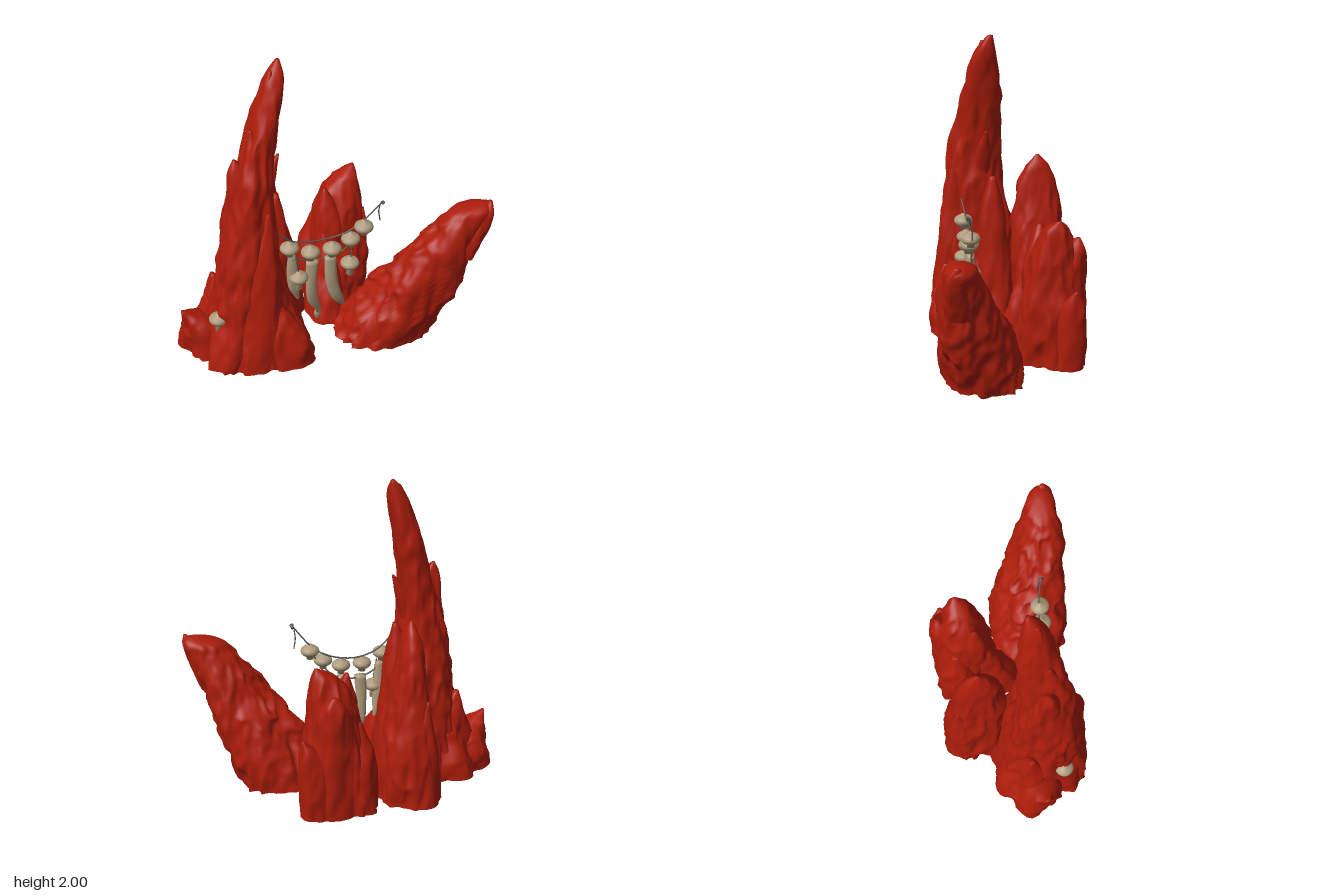
import * as THREE from 'three';

const red = new THREE.MeshStandardMaterial({ color: 0xac1d0b });
red.name = 'red rock';
const tan = new THREE.MeshStandardMaterial({ color: 0xad9b7d });
tan.name = 'dried tan';
const grey = new THREE.MeshStandardMaterial({ color: 0x5c5a53 });
grey.name = 'grey cord';

// Seeded value noise in -1..1
function hash(x, y, z) {
  let h = Math.imul(x, 374761393) ^ Math.imul(y, 668265263) ^ Math.imul(z, 1274126177);
  h = Math.imul(h ^ (h >>> 13), 1103515245);
  return (((h ^ (h >>> 16)) >>> 0) / 4294967295) * 2 - 1;
}
function noise(x, y, z) {
  const ix = Math.floor(x), iy = Math.floor(y), iz = Math.floor(z);
  const s = (t) => t * t * (3 - 2 * t);
  const u = s(x - ix), v = s(y - iy), w = s(z - iz);
  const L = THREE.MathUtils.lerp;
  const row = (j, k) => L(hash(ix, iy + j, iz + k), hash(ix + 1, iy + j, iz + k), u);
  return L(L(row(0, 0), row(1, 0), v), L(row(0, 1), row(1, 1), v), w);
}

// Stacked rounded sections; each key is [y, xMin, xMax, zMin, zMax]
function stackGeometry(keys, rough, segs, rows) {
  const curve = new THREE.CubicInterpolant(keys.map((k) => k[0]), keys.flatMap((k) => k.slice(1)), 4, new Float32Array(4));
  const y0 = keys[0][0], y1 = keys[keys.length - 1][0];
  const squarer = (t) => Math.sign(t) * Math.abs(t) ** 0.86;
  const pos = [], index = [];
  for (let r = 0; r <= rows; r++) {
    const y = y0 + (y1 - y0) * (r / rows);
    const [xa, xb, za, zb] = curve.evaluate(y);
    const cx = (xa + xb) / 2, cz = (za + zb) / 2;
    for (let i = 0; i < segs; i++) {
      const a = (i / segs) * Math.PI * 2;
      const dx = squarer(Math.cos(a)) * (xb - xa) / 2, dz = squarer(Math.sin(a)) * (zb - za) / 2;
      const x = cx + dx, z = cz + dz;
      // tall lumps, then sharper vertical creases
      const lump = noise(x * 7 + 31, y * 3, z * 7 + 17);
      const crease = 0.5 - 1.6 * Math.abs(noise(x * 15 + 5, y * 3.5, z * 15 + 9));
      const grain = noise(x * 30, y * 10, z * 30);
      const k = 1 + rough * (lump * 0.75 + crease * 0.75 + grain * 0.4);
      pos.push(cx + dx * k, y, cz + dz * k);
    }
  }
  for (let r = 0; r < rows; r++) {
    for (let i = 0; i < segs; i++) {
      const j = (i + 1) % segs, a = r * segs, b = a + segs;
      index.push(a + i, b + i, a + j, a + j, b + i, b + j);
    }
  }
  // pointed top and flat base
  const [xa, xb, za, zb] = curve.evaluate(y1);
  const apex = pos.length / 3, top = rows * segs;
  pos.push((xa + xb) / 2, y1 + (xb - xa) * 0.1, (za + zb) / 2);
  const ring = apex + 1;
  for (let i = 0; i < segs; i++) pos.push(pos[i * 3], y0, pos[i * 3 + 2]);
  const k0 = keys[0], centre = pos.length / 3;
  pos.push((k0[1] + k0[2]) / 2, y0, (k0[3] + k0[4]) / 2);
  for (let i = 0; i < segs; i++) {
    const j = (i + 1) % segs;
    index.push(top + i, apex, top + j, centre, ring + i, ring + j);
  }
  const g = new THREE.BufferGeometry();
  g.setAttribute('position', new THREE.Float32BufferAttribute(pos, 3));
  g.setIndex(index);
  g.computeVertexNormals();
  return g;
}

function add(parent, name, geometry, material) {
  const m = new THREE.Mesh(geometry, material);
  m.name = name;
  parent.add(m);
  return m;
}

function rock(parent, name, main, spurs) {
  const g = new THREE.Group();
  g.name = name;
  add(g, name + 'Body', stackGeometry(main, 0.16, 84, 80), red);
  spurs.forEach((s, i) => add(g, name + 'Spur' + (i + 1), stackGeometry(s, 0.2, 36, 36), red));
  parent.add(g);
}

function cord(parent, name, points, radius = 0.005) {
  const c = new THREE.CatmullRomCurve3(points.map((p) => new THREE.Vector3(...p)));
  add(parent, name, new THREE.TubeGeometry(c, 32, radius, 6), grey);
}

// Squashed pod with a small nub above and a stalk below
function pod(parent, [x, y, z], stalk) {
  const profile = [[0, -stalk], [0.024, -stalk], [0.02, -0.04], [0.044, -0.028], [0.057, -0.014], [0.061, 0],
    [0.056, 0.015], [0.042, 0.027], [0.02, 0.034], [0.012, 0.045], [0, 0.048]];
  const g = new THREE.LatheGeometry(profile.map((p) => new THREE.Vector2(...p)), 20);
  add(parent, 'seedPod', g, tan).position.set(x, y, z);
}

export function createModel() {
  const model = new THREE.Group();
  model.name = 'rockSpires';

  // Tall spire
  rock(model, 'tallSpire', [
    [0, -0.86, -0.17, -0.17, 0.43], [0.3, -0.78, -0.25, -0.13, 0.41], [0.6, -0.73, -0.33, -0.09, 0.38],
    [0.9, -0.69, -0.36, -0.05, 0.35], [1.2, -0.63, -0.37, -0.02, 0.32], [1.4, -0.57, -0.355, 0, 0.28],
    [1.6, -0.5, -0.33, 0, 0.24], [1.8, -0.43, -0.295, 0.02, 0.19], [1.93, -0.37, -0.28, 0.04, 0.13], [1.995, -0.315, -0.29, 0.05, 0.08],
  ], [
    [[0, -0.97, -0.55, -0.14, 0.25], [0.2, -0.96, -0.66, -0.06, 0.21], [0.34, -0.97, -0.95, 0.1, 0.13]],
    [[0, -0.88, -0.45, -0.19, 0.2], [0.3, -0.82, -0.5, -0.1, 0.16], [0.54, -0.76, -0.73, 0.02, 0.06]],
    [[0, -0.52, -0.17, 0.18, 0.485], [0.2, -0.5, -0.22, 0.2, 0.46], [0.45, -0.42, -0.38, 0.32, 0.37]],
    [[0, -0.7, -0.36, 0.2, 0.46], [0.6, -0.6, -0.37, 0.2, 0.4], [0.9, -0.52, -0.39, 0.22, 0.36], [1.1, -0.45, -0.42, 0.28, 0.31]],
    [[0, -0.45, -0.15, -0.1, 0.17], [0.5, -0.44, -0.23, -0.06, 0.15], [0.85, -0.42, -0.27, -0.02, 0.13], [1.06, -0.34, -0.31, 0.03, 0.07]],
    [[0.5, -0.7, -0.5, 0.05, 0.25], [1.2, -0.65, -0.48, 0.06, 0.24], [1.35, -0.64, -0.53, 0.1, 0.2], [1.41, -0.61, -0.59, 0.13, 0.16]],
    [[1, -0.6, -0.42, 0.08, 0.26], [1.45, -0.55, -0.4, 0.1, 0.24], [1.61, -0.51, -0.49, 0.15, 0.18]],
    [[0.95, -0.52, -0.4, 0.04, 0.2], [1.2, -0.46, -0.345, 0.05, 0.16], [1.37, -0.325, -0.31, 0.08, 0.1]],
    [[1.5, -0.47, -0.36, 0.06, 0.18], [1.85, -0.41, -0.33, 0.08, 0.15], [1.95, -0.365, -0.35, 0.1, 0.12]],
  ]);

  // Leaning rock at the front
  rock(model, 'leaningRock', [
    [0, 0.04, 0.67, -0.07, 0.44], [0.25, 0.19, 0.74, -0.01, 0.46], [0.5, 0.37, 0.84, 0.09, 0.47],
    [0.75, 0.56, 0.91, 0.19, 0.47], [0.88, 0.67, 0.96, 0.25, 0.46], [0.94, 0.74, 0.97, 0.28, 0.44], [0.965, 0.85, 0.96, 0.33, 0.41],
  ], [
    [[0, 0.1, 0.4, 0.08, 0.42], [0.2, 0.18, 0.44, 0.12, 0.42], [0.4, 0.35, 0.38, 0.22, 0.26]],
    [[0.5, 0.5, 0.75, 0.2, 0.42], [0.8, 0.65, 0.82, 0.25, 0.4], [0.93, 0.73, 0.76, 0.32, 0.36]],
    [[0.6, 0.72, 0.88, 0.28, 0.46], [0.9, 0.88, 0.97, 0.33, 0.45], [0.98, 0.95, 0.97, 0.37, 0.4]],
  ]);

  // Broad rock at the back
  rock(model, 'backRock', [
    [0, -0.07, 0.35, -0.48, -0.04], [0.4, -0.03, 0.34, -0.46, -0.08], [0.7, 0.03, 0.32, -0.42, -0.14],
    [0.85, 0.1, 0.31, -0.38, -0.19], [0.92, 0.18, 0.3, -0.35, -0.23], [0.965, 0.265, 0.285, -0.31, -0.28],
  ], [
    [[0, -0.09, 0.12, -0.25, 0.08], [0.35, -0.04, 0.12, -0.22, 0], [0.6, 0.02, 0.05, -0.16, -0.12]],
    [[0.2, 0, 0.2, -0.3, -0.08], [0.7, 0, 0.16, -0.27, -0.12], [0.87, 0.05, 0.07, -0.22, -0.19]],
    [[0, 0.03, 0.32, -0.49, -0.25], [0.5, 0.06, 0.3, -0.48, -0.28], [0.75, 0.12, 0.27, -0.47, -0.33], [0.82, 0.18, 0.21, -0.44, -0.41]],
    [[0, 0.18, 0.39, -0.47, -0.27], [0.4, 0.25, 0.4, -0.46, -0.3], [0.54, 0.375, 0.395, -0.41, -0.38]],
    [[0, -0.1, 0.12, -0.46, -0.22], [0.35, -0.08, 0.12, -0.44, -0.22], [0.6, 0.0, 0.04, -0.36, -0.31]],
  ]);

  // Narrow spire behind the tall one
  rock(model, 'narrowSpire', [
    [0, -0.51, -0.12, -0.48, -0.06], [0.4, -0.49, -0.16, -0.44, -0.07], [0.8, -0.44, -0.23, -0.39, -0.09],
    [1.05, -0.4, -0.28, -0.34, -0.13], [1.14, -0.37, -0.3, -0.3, -0.18], [1.195, -0.345, -0.33, -0.25, -0.23],
  ], [
    [[0, -0.32, -0.11, -0.36, -0.06], [0.4, -0.3, -0.14, -0.3, -0.08], [0.7, -0.25, -0.22, -0.2, -0.15]],
    [[0, -0.5, -0.3, -0.47, -0.25], [0.45, -0.47, -0.3, -0.44, -0.27], [0.7, -0.42, -0.4, -0.4, -0.37]],
  ]);

  // Garland: cords, peg, pods and curved horns
  const garland = new THREE.Group();
  garland.name = 'garland';
  model.add(garland);
  cord(garland, 'upperCord', [[-0.37, 0.9, 0.25], [-0.26, 0.81, 0.23], [-0.1, 0.775, 0.21], [0.08, 0.81, 0.22], [0.18, 0.88, 0.23], [0.295, 1.02, 0.26]]);
  cord(garland, 'lowerCord', [[-0.33, 0.76, 0.23], [-0.22, 0.66, 0.22], [-0.1, 0.63, 0.21], [0.03, 0.66, 0.22], [0.12, 0.75, 0.23], [0.2, 0.86, 0.23]]);
  cord(garland, 'looseEnd', [[0.285, 1, 0.25], [0.28, 0.94, 0.24], [0.29, 0.87, 0.24]], 0.004);
  cord(garland, 'podCordLeft', [[-0.26, 0.74, 0.24], [-0.25, 0.66, 0.25], [-0.24, 0.58, 0.25]]);
  cord(garland, 'podCordRight', [[0.1, 0.76, 0.23], [0.11, 0.68, 0.23], [0.1, 0.6, 0.23]]);
  cord(garland, 'hornCord', [[-0.12, 0.27, 0.2], [-0.1, 0.2, 0.17], [-0.09, 0.15, 0.14]], 0.004);
  const peg = add(garland, 'peg', new THREE.CylinderGeometry(0.013, 0.009, 0.03, 10), grey);
  peg.position.set(0.295, 1.015, 0.26);
  peg.rotation.x = Math.PI / 3;

  [[-0.295, 0.78, 0.245], [-0.16, 0.72, 0.24], [-0.02, 0.72, 0.24], [0.1, 0.77, 0.24], [0.185, 0.845, 0.24]]
    .forEach((p) => pod(garland, p, 0.055));
  [[-0.24, 0.55, 0.25], [0.1, 0.58, 0.23], [-0.76, 0.34, 0.25]].forEach((p) => pod(garland, p, 0.085));

  [
    [[0.35, -0.245, -0.225, 0.19, 0.21], [0.45, -0.295, -0.225, 0.19, 0.24], [0.6, -0.31, -0.235, 0.2, 0.25], [0.72, -0.3, -0.25, 0.21, 0.25]],
    [[0.19, -0.09, -0.07, 0.17, 0.18], [0.3, -0.165, -0.095, 0.18, 0.22], [0.47, -0.185, -0.115, 0.19, 0.25], [0.64, -0.185, -0.105, 0.2, 0.25]],
    [[0.22, 0.06, 0.085, 0.17, 0.18], [0.28, 0.005, 0.07, 0.18, 0.22], [0.45, -0.055, 0.025, 0.19, 0.25], [0.65, -0.065, 0.01, 0.2, 0.25]],
    [[0.12, -0.1, -0.08, 0.13, 0.15], [0.15, -0.11, -0.07, 0.12, 0.16], [0.19, -0.105, -0.095, 0.14, 0.16]],
  ].forEach((k) => add(garland, 'curvedHorn', stackGeometry(k, 0.04, 16, 20), tan));

  return model;
}
